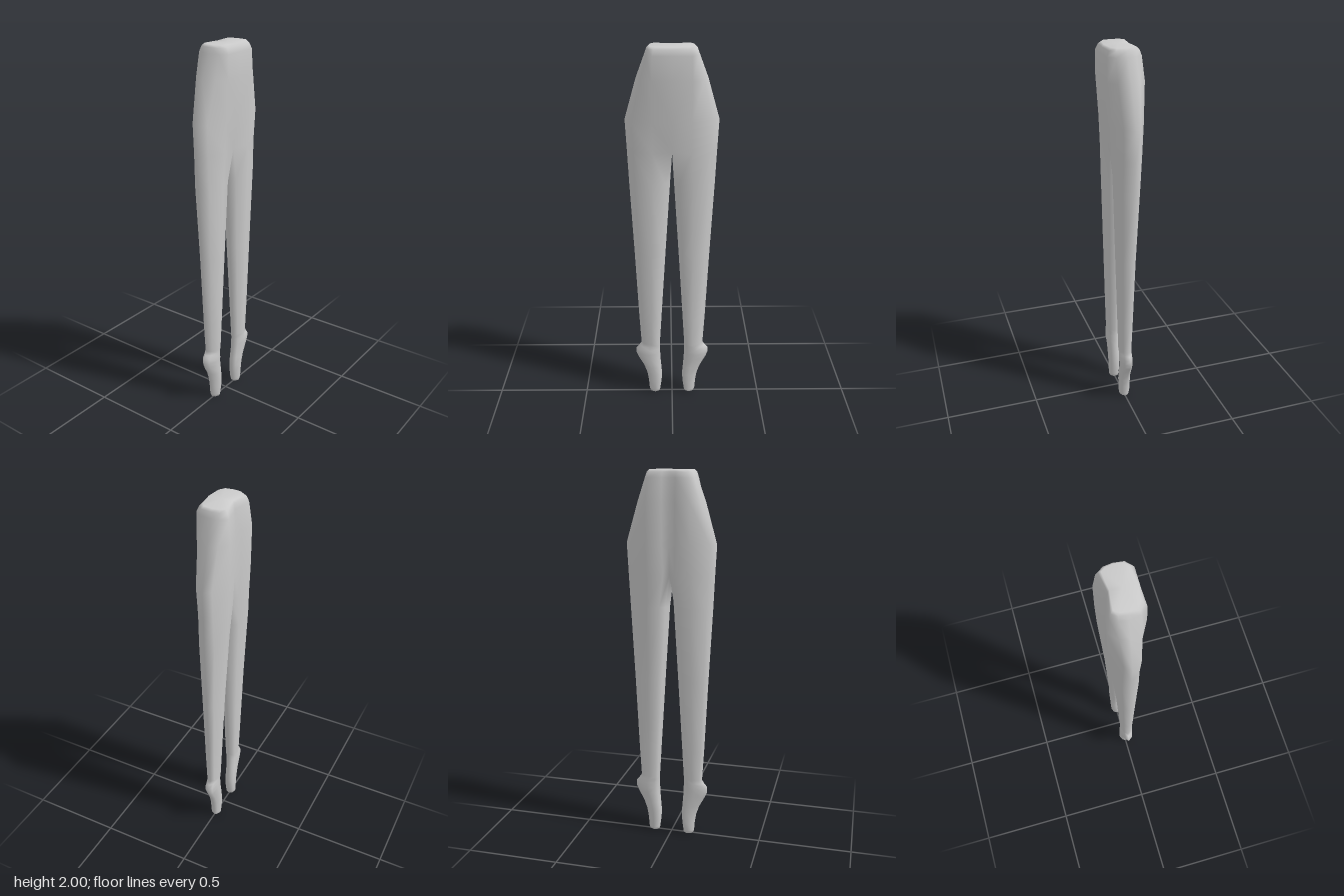
import * as THREE from 'three';
import { mergeVertices } from 'three/addons/utils/BufferGeometryUtils.js';

// Hip cross-sections of the left half: [x, z] from the front seam round the outside to the back seam
const hips = [
  { y: 2.0, ring: [[0, .076], [.08, .066], [.108, .045], [.114, 0], [.108, -.035], [.092, -.058], [.03, -.052], [0, -.048]] },
  { y: 1.988, ring: [[0, .084], [.09, .078], [.119, .052], [.125, 0], [.119, -.042], [.1, -.07], [.035, -.06], [0, -.055]] },
  { y: 1.96, ring: [[0, .088], [.097, .09], [.128, .055], [.135, 0], [.128, -.045], [.106, -.08], [.035, -.068], [0, -.058]] },
  { y: 1.84, ring: [[0, .088], [.1, .091], [.157, .055], [.18, -.005], [.16, -.052], [.115, -.094], [.035, -.077], [0, -.061]] },
  { y: 1.63, ring: [[0, .073], [.1, .077], [.205, .042], [.24, -.01], [.21, -.045], [.115, -.092], [.035, -.077], [0, -.06]] },
  { y: 1.47, ring: [[0, .05], [.1, .071], [.197, .038], [.232, -.01], [.202, -.045], [.113, -.087], [.03, -.067], [0, -.05]] },
];

// Leg and foot: [y, inner x, outer x, front z, back z]
const legs = [
  [1.3, .01, .224, .066, -.078], [.9, .035, .203, .056, -.056], [.5, .059, .184, .046, -.041],
  [.33, .069, .174, .041, -.034], [.31, .069, .187, .038, -.032], [.29, .069, .204, .04, -.033],
  [.26, .068, .204, .04, -.034], [.23, .067, .192, .036, -.034], [.17, .062, .16, .035, -.035],
  [.12, .058, .143, .035, -.035], [.07, .061, .135, .034, -.034], [.02, .068, .131, .031, -.031],
  [.006, .07, .128, .027, -.027], [0, .078, .12, .019, -.019],
];
// Shape of the leg section: [fraction across, fraction of depth]
const legShape = [[.12, .62], [.45, 1], [.85, .6], [1, -.08], [.87, -.6], [.5, -1], [.2, -.78], [.07, -.5]];

function buildRows() {
  const rows = hips.map(({ y, ring }) => [...ring, [0, 0]].map(([x, z]) => [x, y, z]));
  for (const [y, xi, xo, zf, zb] of legs) {
    rows.push([...legShape, [0, .05]].map(([u, v]) =>
      [xi + (xo - xi) * u, y, v > 0 ? v * zf : -v * zb]));
  }
  return rows;
}

function createBody() {
  const rows = buildRows();
  const n = rows[0].length;
  const out = [];
  // Each triangle is added together with its mirror image
  const tri = (a, b, c) => {
    out.push(...a, ...b, ...c);
    for (const p of [a, c, b]) out.push(p[0] === 0 ? 0 : -p[0], p[1], p[2]);
  };

  for (let i = 0; i < rows.length - 1; i++) {
    // The hips stay open along the centre line, the legs close on their inner side
    const sides = i < hips.length - 1 ? n - 2 : n;
    for (let j = 0; j < sides; j++) {
      const k = (j + 1) % n;
      const a = rows[i][j], b = rows[i][k], c = rows[i + 1][j], d = rows[i + 1][k];
      tri(a, c, b);
      tri(b, c, d);
    }
  }

  // Waist cap
  const waist = [0, 2, .01];
  for (let j = 0; j < n - 2; j++) tri(waist, rows[0][j], rows[0][j + 1]);

  // Toe caps
  const last = rows[rows.length - 1];
  const toe = [.099, 0, 0];
  for (let j = 0; j < n; j++) tri(toe, last[(j + 1) % n], last[j]);

  const raw = new THREE.BufferGeometry();
  raw.setAttribute('position', new THREE.Float32BufferAttribute(out, 3));
  const geometry = mergeVertices(raw, 1e-5);
  geometry.computeVertexNormals();
  return geometry;
}

export function createModel() {
  const model = new THREE.Group();
  model.name = 'legs';
  const material = new THREE.MeshStandardMaterial({ color: 0xcccccc });
  const body = new THREE.Mesh(createBody(), material);
  body.name = 'hipsLegsAndFeet';
  model.add(body);
  return model;
}
